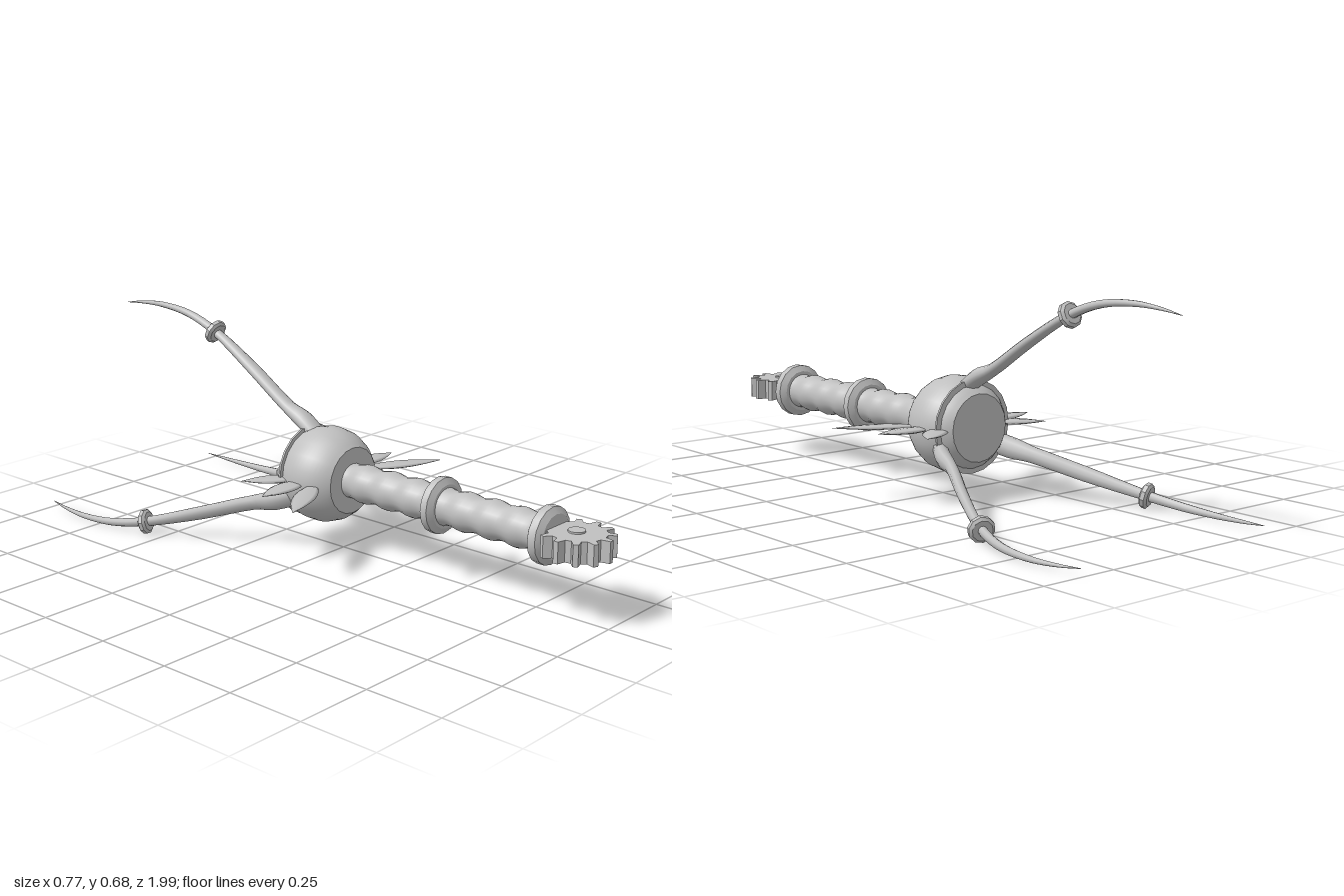
import * as THREE from 'three';
import { toCreasedNormals } from 'three/addons/utils/BufferGeometryUtils.js';

const AXIS_Y = 0.232;
const metal = new THREE.MeshStandardMaterial({ color: 0xc0c0c0 });
metal.name = 'greyMetal';

function part(name, geometry, parent) {
  const mesh = new THREE.Mesh(geometry, metal);
  mesh.name = name;
  parent.add(mesh);
  return mesh;
}

// Turned part along z, from [radius, z] pairs with rising z
function turned(profile, sides, crease = 0.6) {
  const points = profile.map(([r, z]) => new THREE.Vector2(r, z));
  return toCreasedNormals(new THREE.LatheGeometry(points, sides).rotateX(Math.PI / 2), crease);
}

// Chamfered solid collar centred on its own origin
function collar(radius, width, sides) {
  const h = width / 2;
  return turned([[0, -h], [radius * 0.78, -h], [radius, -h * 0.5],
    [radius, h * 0.5], [radius * 0.78, h], [0, h]], sides, 0.5);
}

// Curved claw swept along -z, each row is [height, z, half width, half depth]
const CLAW = [
  [0.11, -0.10, 0.034, 0.022], [0.158, -0.17, 0.034, 0.026], [0.19, -0.24, 0.026, 0.019],
  [0.285, -0.39, 0.024, 0.017], [0.383, -0.565, 0.016, 0.014], [0.425, -0.69, 0.013, 0.012],
  [0.437, -0.82, 0.009, 0.009], [0.431, -0.92, 0.005, 0.005], [0.42, -0.995, 0.0008, 0.0008],
];
const clawPath = new THREE.CatmullRomCurve3(CLAW.map(([y, z]) => new THREE.Vector3(0, y, z)));
const clawSize = new THREE.CatmullRomCurve3(CLAW.map(([, , w, d]) => new THREE.Vector3(w, d, 0)));

function clawGeometry(rows = 32, sides = 10) {
  const positions = [], index = [];
  for (let i = 0; i <= rows; i++) {
    const p = clawPath.getPoint(i / rows), t = clawPath.getTangent(i / rows);
    const s = clawSize.getPoint(i / rows);
    for (let j = 0; j < sides; j++) {
      const a = (j / sides) * Math.PI * 2, d = s.y * Math.sin(a);
      positions.push(s.x * Math.cos(a), p.y - t.z * d, p.z + t.y * d);
      if (i < rows) {
        const k = (j + 1) % sides;
        const a0 = i * sides + j, b0 = i * sides + k;
        index.push(a0, a0 + sides, b0, b0, a0 + sides, b0 + sides);
      }
    }
  }
  const g = new THREE.BufferGeometry();
  g.setAttribute('position', new THREE.Float32BufferAttribute(positions, 3));
  g.setIndex(index);
  g.computeVertexNormals();
  return g;
}

// Flat pointed leaf lying in the xz plane between two [x, z] points
function leafGeometry([x0, z0], [x1, z1], halfWidth) {
  const length = Math.hypot(x1 - x0, z1 - z0);
  const points = [];
  for (let i = 0; i <= 10; i++) {
    const t = i / 10;
    points.push(new THREE.Vector2(halfWidth * Math.sin(Math.PI * Math.pow(t, 0.9)), t * length));
  }
  return new THREE.LatheGeometry(points, 8)
    .rotateX(Math.PI / 2)
    .scale(1, 0.2, 1)
    .rotateY(Math.atan2(x1 - x0, z1 - z0))
    .translate(x0, 0, z0);
}

// Toothed wheel lying flat, with its thickness along y
function gearGeometry(teeth, root, tip, thickness) {
  const shape = new THREE.Shape();
  const step = (Math.PI * 2) / teeth;
  for (let i = 0; i < teeth; i++) {
    [[-0.3, root], [-0.13, tip], [0.13, tip], [0.3, root]].forEach(([o, r], k) => {
      const a = (i + o) * step;
      const x = Math.sin(a) * r, y = Math.cos(a) * r;
      if (i === 0 && k === 0) shape.moveTo(x, y); else shape.lineTo(x, y);
    });
  }
  return new THREE.ExtrudeGeometry(shape, { depth: thickness, bevelEnabled: false })
    .translate(0, 0, -thickness / 2).rotateX(Math.PI / 2);
}

export function createModel() {
  const model = new THREE.Group();
  model.name = 'clawedSceptre';
  const body = new THREE.Group();
  body.name = 'body';
  body.position.y = AXIS_Y;
  model.add(body);

  // Rippled grip
  const grip = [];
  for (let i = 0; i <= 60; i++) {
    const z = 0.01 + (i / 60) * 0.78;
    grip.push([0.058 + 0.004 * Math.cos((z - 0.395) * Math.PI * 2 / 0.098), z]);
  }
  part('grip', turned(grip, 20, 1), body);
  part('endCollar', collar(0.088, 0.052, 16), body).position.z = 0.785;
  part('middleCollar', collar(0.088, 0.046, 16), body).position.z = 0.393;

  // Pommel wheel and its hub
  const gear = part('pommelGear', gearGeometry(12, 0.088, 0.115, 0.066), body);
  gear.position.z = 0.883;
  gear.scale.x = 0.93;
  const hub = part('pommelHub', new THREE.CylinderGeometry(0.026, 0.026, 0.077, 12), body);
  hub.position.z = 0.88;

  // Ball head with flat ends
  const head = [[0, -0.175]];
  for (let i = 0; i <= 16; i++) {
    const a = -0.8 + (i / 16) * 1.6;
    head.push([0.153 * Math.cos(a), -0.0675 + 0.15 * Math.sin(a)]);
  }
  head.push([0, 0.04]);
  part('ballHead', turned(head, 20, 0.6), body);
  part('headRim', collar(0.147, 0.014, 20), body).position.z = -0.14;

  // Three claws, each with a small collar
  for (let i = 0; i < 3; i++) {
    const claw = new THREE.Group();
    claw.name = 'claw' + (i + 1);
    claw.rotation.z = (i * Math.PI * 2) / 3;
    body.add(claw);
    part('clawBlade', clawGeometry(), claw);
    const ring = part('clawCollar', collar(0.04, 0.026, 10), claw);
    const t = clawPath.getTangent(0.5);
    ring.position.copy(clawPath.getPoint(0.5));
    ring.rotation.x = Math.atan2(t.y, -t.z);
  }

  // Three flat leaves on each side
  const leaves = [
    ['frontLeaf', [0.1, -0.03], [0.352, 0.112], 0.036],
    ['middleLeaf', [0.1, -0.075], [0.306, -0.06], 0.04],
    ['rearLeaf', [0.09, -0.1], [0.24, -0.217], 0.038],
  ];
  for (const [name, root, tip, width] of leaves) {
    for (const side of [1, -1]) {
      part((side > 0 ? 'left ' : 'right ') + name,
        leafGeometry([root[0] * side, root[1]], [tip[0] * side, tip[1]], width), body);
    }
  }
  return model;
}
